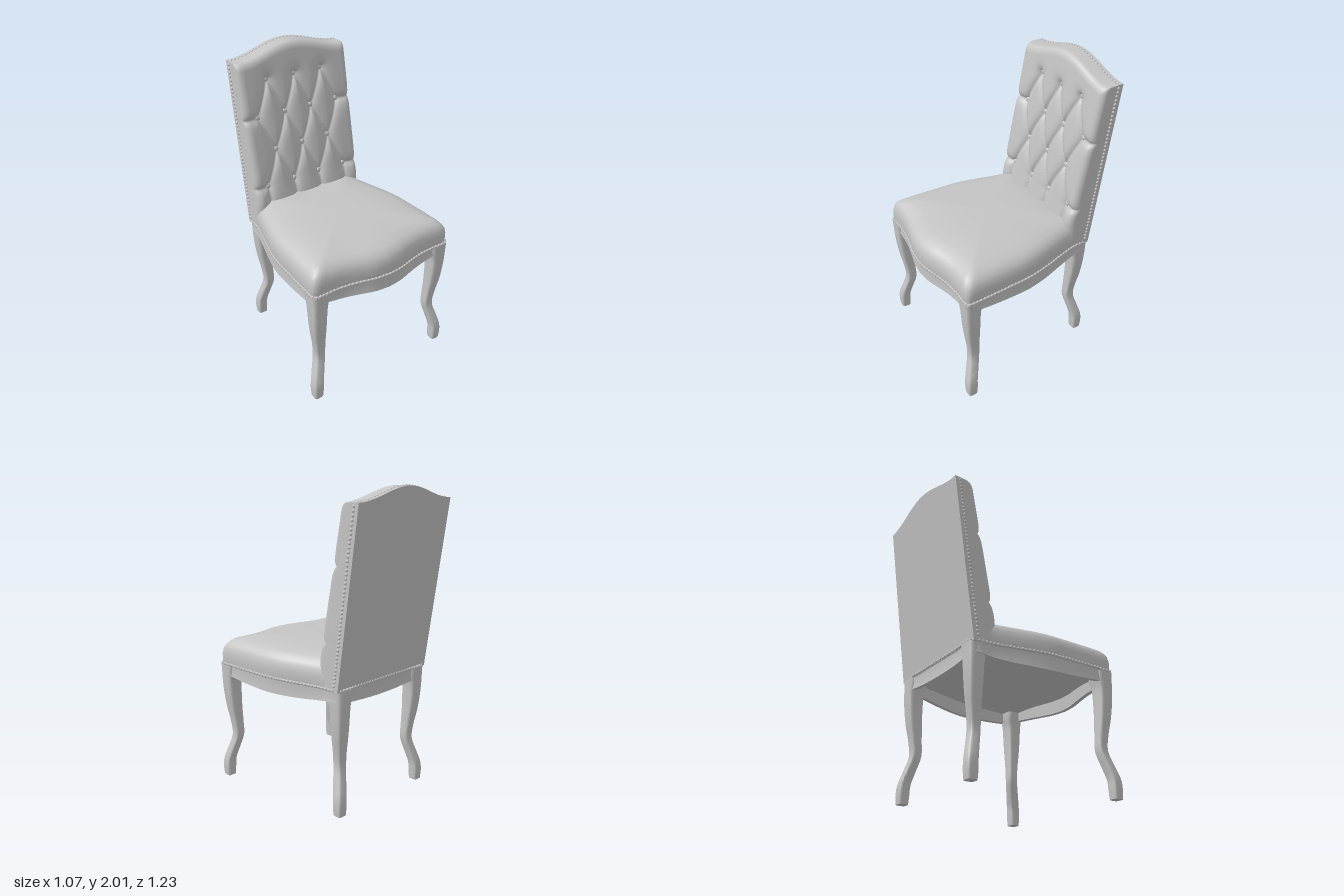
import * as THREE from 'three';
import { mergeGeometries, toCreasedNormals } from 'three/addons/utils/BufferGeometryUtils.js';

const V = (x, y, z) => new THREE.Vector3(x, y, z);
const W = 0.41, R = 0.04, BASE = 0.81;
const backTop = x => 1.92 + 0.04 * (1 + Math.cos(Math.PI * x / W));
const backZ = y => -0.44 - (y - 0.82) * 0.143;
const frontZ = y => -0.275 - 0.2 * Math.max(0, y - 1);

// Skin over rings that run counter-clockwise seen from above, listed upwards
function loft(rings, { closed = true, flip = false, crease = 0 } = {}) {
  const n = rings[0].length, pos = [], index = [];
  rings.forEach(r => r.forEach(p => pos.push(p.x, p.y, p.z)));
  for (let i = 0; i < rings.length - 1; i++) {
    for (let j = 0; j < (closed ? n : n - 1); j++) {
      const k = (j + 1) % n;
      const a = i * n + j, b = i * n + k, c = a + n, d = b + n;
      if (flip) index.push(a, d, b, a, c, d);
      else index.push(a, b, d, a, d, c);
    }
  }
  const geo = new THREE.BufferGeometry();
  geo.setAttribute('position', new THREE.Float32BufferAttribute(pos, 3));
  geo.setIndex(index);
  geo.computeVertexNormals();
  return crease ? toCreasedNormals(geo, crease) : geo;
}

// Seat plan: half outline from front centre to rear centre, then mirrored
const half = new THREE.CatmullRomCurve3([
  [0, 0.61], [0.1, 0.6], [0.2, 0.575], [0.3, 0.556], [0.42, 0.55], [0.5, 0.55], [0.52, 0.535],
  [0.522, 0.45], [0.515, 0.25], [0.505, 0.08], [0.48, -0.05], [0.44, -0.2], [0.412, -0.32],
  [0.402, -0.42], [0.385, -0.44], [0.2, -0.44], [0, -0.44],
].map(([x, z]) => V(x, 0, z))).getSpacedPoints(72);
const outline = [...half, ...half.slice(1, -1).reverse().map(p => V(-p.x, 0, p.z))];
const MID = 0.085;
const seatRing = (s, y) => outline.map(p =>
  V(p.x * s, typeof y === 'function' ? y(p) : y, MID + (p.z - MID) * s));

// Button grid and the creases joining neighbouring buttons
const buttons = [];
[1.79, 1.56, 1.33, 1.1].forEach((y, r) =>
  (r % 2 ? [-0.305, -0.1, 0.1, 0.305] : [-0.205, 0, 0.205]).forEach(x => buttons.push([x, y])));
const creases = [];
for (const a of buttons) {
  for (const b of buttons) {
    const dy = a[1] - b[1];
    if (dy > 0.1 && dy < 0.3 && Math.abs(a[0] - b[0]) < 0.15) creases.push([a, b]);
  }
  if (Math.abs(a[0]) > 0.3) creases.push([a, [Math.sign(a[0]) * W, a[1]]]);
  if (a[1] < 1.2) creases.push([a, [a[0], 0.95]]);
}
function tuft(x, y) {
  let line = 1, dot = 1;
  for (const [[ax, ay], [bx, by]] of creases) {
    const ux = bx - ax, uy = by - ay;
    const t = THREE.MathUtils.clamp(((x - ax) * ux + (y - ay) * uy) / (ux * ux + uy * uy), 0, 1);
    line = Math.min(line, Math.hypot(x - ax - t * ux, y - ay - t * uy));
  }
  for (const [bx, by] of buttons) dot = Math.min(dot, Math.hypot(x - bx, y - by));
  return 0.028 * Math.exp(-line / 0.02) + 0.025 * Math.exp(-dot / 0.03);
}

// Tufted cushion wrapping over the front, sides and top of the backrest
function backCushion() {
  const edge = [[W, 1], [W, 0.6]];
  for (let i = 0; i <= 4; i++) {
    const t = i * Math.PI / 8;
    edge.push([W - R * (1 - Math.cos(t)), 0.25 * (1 - Math.sin(t))]);
  }
  const cols = edge.map(([x, a]) => [-x, a]);
  for (let i = 1; i < 90; i++) cols.push([(W - R) * (i / 45 - 1), 0]);
  cols.push(...edge.reverse());
  const rows = [];
  for (let i = 0; i <= 110; i++) rows.push([i / 110, 0, 0]);
  for (let i = 1; i <= 4; i++) {
    const t = i * Math.PI / 8;
    rows.push([1, R * Math.sin(t), 0.25 * (1 - Math.cos(t))]);
  }
  rows.push([1, R, 0.6], [1, R, 1]);
  return loft(rows.map(([v, up, b]) => cols.map(([x, a]) => {
    const y = BASE + (backTop(x) - R - BASE) * v + up;
    const keep = (1 - a) * (1 - b), zb = backZ(y);
    return V(x, y, zb + (frontZ(y) - zb - tuft(x, y)) * keep);
  })), { closed: false });
}

// Flat rear panel, leaning with the backrest
function rearPanel() {
  const s = new THREE.Shape();
  s.moveTo(-W, BASE);
  s.lineTo(W, BASE);
  for (let i = 0; i <= 24; i++) {
    const x = W * (1 - i / 12);
    s.lineTo(x, backTop(x));
  }
  const geo = new THREE.ExtrudeGeometry(s, { depth: 0.014, bevelEnabled: false });
  const p = geo.attributes.position;
  for (let i = 0; i < p.count; i++) p.setZ(i, p.getZ(i) - 0.004 + backZ(p.getY(i)));
  geo.computeVertexNormals();
  return geo;
}

// Cabriole leg: height, then inner and outer offsets from its corner
const legCurve = new THREE.CatmullRomCurve3([
  [0, -0.066, -0.004], [0.06, -0.07, 0], [0.12, -0.073, -0.004], [0.2, -0.092, -0.025],
  [0.3, -0.115, -0.05], [0.4, -0.114, -0.043], [0.5, -0.112, -0.027], [0.6, -0.112, -0.016],
  [0.7, -0.115, -0.01], [0.76, -0.125, -0.008], [0.815, -0.13, -0.006],
].map(p => V(...p)));
function leg(sx, sz, cx, cz) {
  const rings = legCurve.getPoints(40).map(({ x: y, y: lo, z: hi }) => {
    const m = (lo + hi) / 2, h = (hi - lo) / 2, ring = [];
    for (let i = 0; i < 16; i++) {
      const t = -(i + 0.5) * Math.PI / 8, c = Math.cos(t), s = Math.sin(t);
      const px = h * Math.sign(c) * Math.abs(c) ** 0.4, pz = h * Math.sign(s) * Math.abs(s) ** 0.4;
      ring.push(V(sx * (cx + m + px), y, sz * (cz + m + pz)));
    }
    return ring;
  });
  const cap = r => {
    const c = r.reduce((a, p) => a.add(p), V(0, 0, 0)).divideScalar(r.length);
    return r.map(() => c);
  };
  return loft([cap(rings[0]), ...rings, cap(rings.at(-1))], { flip: sx * sz < 0, crease: 0.9 });
}

export function createModel() {
  const group = new THREE.Group();
  const grey = new THREE.MeshStandardMaterial({ color: 0xc4c4c4 });
  grey.name = 'plain grey';
  grey.side = THREE.DoubleSide;
  const add = (name, geo) => {
    const mesh = new THREE.Mesh(geo, grey);
    mesh.name = name;
    group.add(mesh);
  };

  // Domed seat cushion with a closed underside
  add('seatCushion', loft([
    [0, 0.805], [0.99, 0.805], [1, 0.83], [1, 0.885], [0.985, 0.925], [0.96, 0.948], [0.925, 0.968],
    [0.87, 0.985], [0.75, 1.002], [0.5, 1.016], [0.25, 1.021], [0, 1.022],
  ].map(([s, y]) => seatRing(s, y)), { crease: 0.8 }));

  // Shaped apron below the seat
  const hem = p => {
    const t = p.z > 0.54 || p.z < -0.43 ? p.x / 0.42 : (p.z - 0.05) / 0.45;
    return 0.715 + 0.03 * Math.min(1, t * t);
  };
  add('apron', loft([seatRing(0.93, 0.808), seatRing(0.94, hem), seatRing(0.995, hem),
    seatRing(0.985, 0.77), seatRing(0.99, 0.808)], { crease: 0.6 }));

  // Trim cord under the cushion
  add('seatTrim', new THREE.TubeGeometry(
    new THREE.CatmullRomCurve3(seatRing(1, 0.818), true), 200, 0.007, 6, true));

  add('backCushion', backCushion());
  add('rearPanel', rearPanel());

  // Tufting buttons
  add('backButtons', mergeGeometries(buttons.map(([x, y]) =>
    new THREE.SphereGeometry(0.02, 14, 10).scale(1, 1, 0.7)
      .translate(x, y, frontZ(y) - 0.042))));

  // Nailheads around the seat and along the backrest edges
  const nails = new THREE.CatmullRomCurve3(seatRing(1.003, 0.82), true).getSpacedPoints(150).slice(1);
  for (let y = 0.85; y < 1.91; y += 0.025)
    for (const s of [-1, 1]) nails.push(V(s * W, y, backZ(y) + 0.03));
  for (let i = -15; i <= 15; i++) {
    const x = i * 0.026, y = backTop(x);
    nails.push(V(x, y - 0.002, backZ(y) + 0.025));
  }
  add('nailheads', mergeGeometries(nails.map(p =>
    new THREE.SphereGeometry(0.0095, 8, 6).translate(p.x, p.y, p.z))));

  for (const s of [-1, 1]) {
    const side = s > 0 ? 'Left' : 'Right';
    add('front' + side + 'Leg', leg(s, 1, 0.535, 0.566));
    add('rear' + side + 'Leg', leg(s, -1, 0.405, 0.46));
  }
  return group;
}
